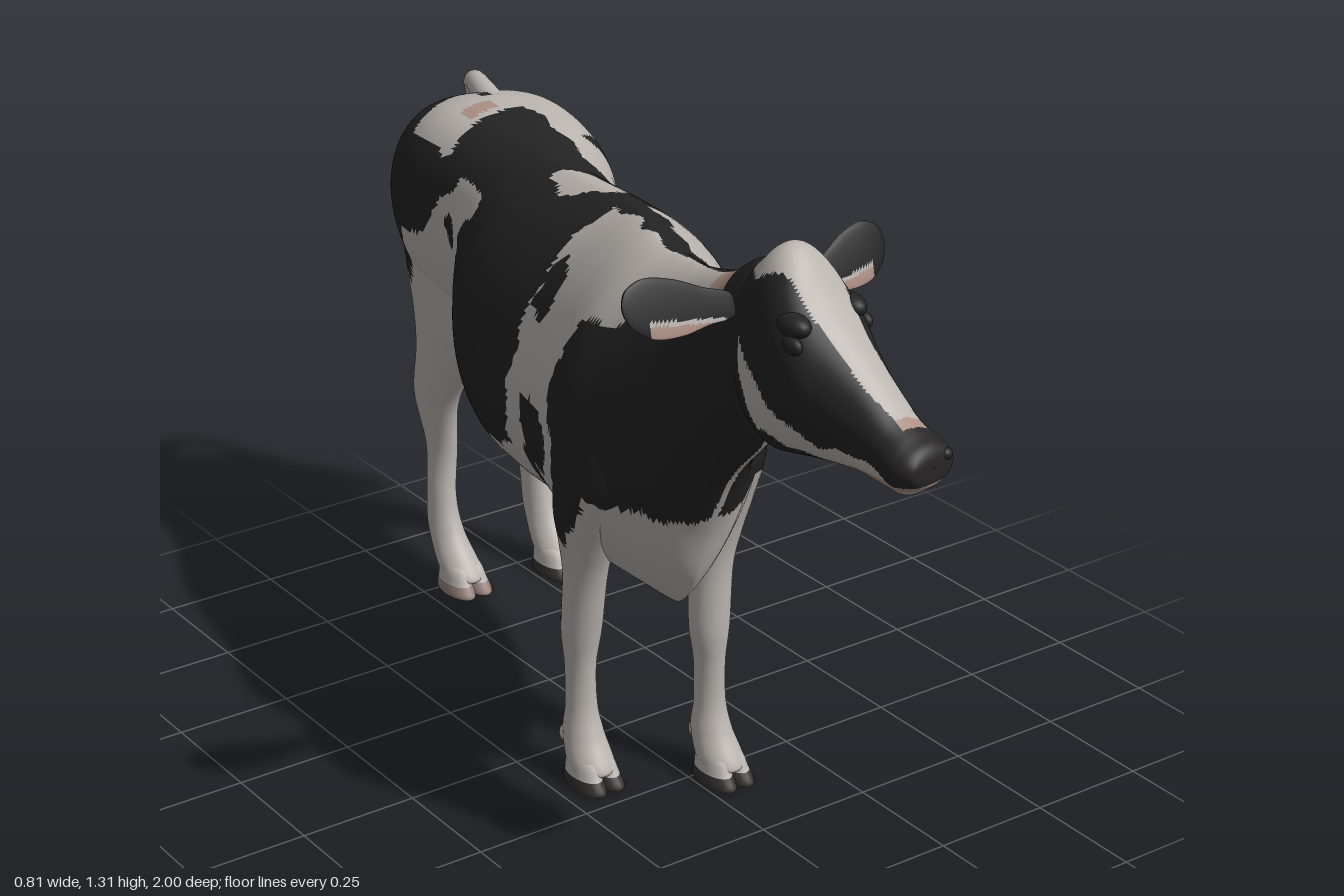
import * as THREE from 'three';

const { lerp, clamp, smoothstep } = THREE.MathUtils;
const mat = (name, color) => {
  const m = new THREE.MeshStandardMaterial({ color });
  m.name = name;
  return m;
};

// Catmull-Rom interpolation down a list of cross-section rows, t in 0..1
function sample(rows, t) {
  const f = t * (rows.length - 1), i = Math.min(Math.floor(f), rows.length - 2), k = f - i;
  const a = rows[Math.max(i - 1, 0)], b = rows[i], c = rows[i + 1], d = rows[Math.min(i + 2, rows.length - 1)];
  return b.map((v, n) => v + 0.5 * k * (c[n] - a[n] + k * (2 * a[n] - 5 * v + 4 * c[n] - d[n] + k * (3 * (v - c[n]) + d[n] - a[n]))));
}

// Sort the faces into material groups by the colour rule paint(x, y, z)
function paintFaces(geo, paint) {
  const p = geo.attributes.position, idx = geo.index.array, bins = [[], [], [], []];
  for (let i = 0; i < idx.length; i += 3) {
    const f = [idx[i], idx[i + 1], idx[i + 2]];
    const mid = n => (p['get' + n](f[0]) + p['get' + n](f[1]) + p['get' + n](f[2])) / 3;
    bins[paint(mid('X'), mid('Y'), mid('Z'))].push(...f);
  }
  geo.setIndex(bins.flat());
  let start = 0;
  bins.forEach((b, m) => { if (b.length) geo.addGroup(start, b.length, m); start += b.length; });
  return geo;
}

// Skin closed rings: ring(row, angle) gives a point
function loft(rows, ring, rings, segs) {
  const pos = [], index = [];
  for (let i = 0; i <= rings; i++) {
    const row = sample(rows, i / rings);
    for (let j = 0; j < segs; j++) pos.push(...ring(row, j / segs * Math.PI * 2));
  }
  for (let i = 0; i < rings; i++) for (let j = 0; j < segs; j++) {
    const a = i * segs + j, b = i * segs + (j + 1) % segs;
    index.push(a, b, a + segs, b, b + segs, a + segs);
  }
  const g = new THREE.BufferGeometry();
  g.setAttribute('position', new THREE.Float32BufferAttribute(pos, 3));
  g.setIndex(index);
  g.computeVertexNormals();
  return g;
}

// Upright section, turned by yaw; up and low set how full each half is
function upright(z, cx, top, mid, bot, hw, yaw, up, low, a) {
  const c = Math.cos(a), s = Math.sin(a);
  const u = hw * Math.sign(c) * Math.abs(c) ** (s > 0 ? up : low);
  return [cx + u, mid + s * (s > 0 ? top - mid : mid - bot), z + u * yaw];
}
// The trunk is yawed up to the shoulder, boxy at the rump, ridged at the withers and keeled at the brisket
function trunkRing([z, ...r], a) {
  const up = lerp(lerp(0.72, 1.35, smoothstep(z, -0.7, -0.25)), 1, smoothstep(z, 0.33, 0.5));
  return upright(z, ...r, 0.22 * (1 - smoothstep(z, 0.28, 0.5)), up, 1 + 0.8 * Math.exp(-(((z - 0.3) / 0.09) ** 2)), a);
}
const headCentre = z => -0.09 + Math.max(z - 0.64, 0) * 0.17;
const headRing = ([z, ...r], a) => upright(z, headCentre(z), ...r, -0.15 * smoothstep(z, 0.6, 0.72), 1, 0.84, a);
// Level section: y, x, z, x radius, z radius
const legRing = ([y, x, z, rx, rz], a) => [x + rx * Math.cos(a), Math.max(y, 0), z + rz * Math.sin(a)];

function inside(poly, z, y) {
  let hit = false;
  for (let i = 0, j = poly.length - 1; i < poly.length; j = i++) {
    const [a, b] = poly[i], [c, d] = poly[j];
    if (b > y !== d > y && z < (c - a) * (y - b) / (d - b) + a) hit = !hit;
  }
  return hit;
}

// Black patches of the coat, as z, y outlines and ovals
const shoulderPatch = [[0.7, 1.4], [0.25, 1.25], [0.25, 0.95], [0.21, 0.88], [0.25, 0.8], [0.22, 0.6], [0.25, 0.55], [0.34, 0.68], [0.7, 0.66]];
const barrelPatch = [[0.02, 1.25], [0.04, 0.87], [-0.02, 0.65], [-0.2, 0.585], [-0.33, 0.62], [-0.41, 0.71], [-0.36, 0.78],
  [-0.27, 0.77], [-0.32, 0.84], [-0.43, 0.93], [-0.38, 1], [-0.42, 1.25]];
const rumpPatch = [[-0.5, 1.08], [-0.6, 1.05], [-0.66, 1.12], [-0.98, 1.15], [-0.98, 0.9], [-0.79, 0.73], [-0.74, 0.72], [-0.72, 0.86], [-0.66, 0.85], [-0.53, 0.99]];
const spots = [[0.08, 1.01, 0.045, 0.055], [0.14, 0.74, 0.065, 0.08], [0.08, 0.63, 0.035, 0.05], [-0.5, 0.92, 0.03, 0.03], [-0.47, 0.84, 0.012, 0.012]];
const BLACK = 0, WHITE = 1, PINK = 2, DARK = 3;

function coat(x, y, z) {
  const u = x - clamp(0.03 - 0.25 * z, -0.09, 0.21);
  const wave = 0.008 * Math.sin(z * 55) + 0.006 * Math.sin(x * 90);
  // bare inner thigh and the dark leg spot
  if (z < -0.72 && y > 0.42 && y < 0.72 && x > 0.2 && x < 0.285) return PINK;
  if (x < -0.12 && z < 0.1 && z > 0 && y > 0.35 && y < 0.46) return BLACK;
  if (y < 0.53) return WHITE;
  // pale chest line
  if (z > 0.36 && y < 0.93 && Math.abs(x + 0.085) < 0.008) return WHITE;
  // dark spine and pale nape
  if (y > 1.1 && z > -0.1 && z < 0.32 && Math.abs(u - 0.01 + wave) < 0.035) return BLACK;
  if (u < -0.01 && z > 0.03 && z < 0.53 && y + wave > 1.03 + (z - 0.2) * 0.3) return z > 0.48 && y > 1.15 ? PINK : WHITE;
  if (y > 1.06 && ((x - 0.07 + wave) / 0.05) ** 2 + ((z + 0.2) / 0.11) ** 2 < 1) return WHITE;
  // rump, seen from above and behind
  if (z < -0.83 && x > 0.2 && x < 0.31 && y < 1.08) return x < 0.235 && y > 0.85 ? PINK : WHITE;
  if (z < -0.42 && z > -0.66 && x + wave < 0.23 && y > 1.03) return BLACK;
  if (z < -0.6 && x > 0.2 && y + wave > 1.085) return WHITE;
  if (z < -0.64 && z > -0.81 && x > 0.03 && x < 0.18 + wave && y > 1.06) return z < -0.68 && z > -0.72 && x > 0.1 ? PINK : WHITE;
  // mirrored flank patches with wavy edges
  const s = z + (z < 0.4 ? 0.045 - u * 0.22 : 0) + 0.007 * Math.sin(y * 48) + 0.003 * Math.sin(y * 110 + 1);
  const h = y + 0.007 * Math.sin(z * 52) + 0.003 * Math.sin(z * 120 + 1);
  if (spots.some(([a, b, rz, ry]) => ((s - a) / rz) ** 2 + ((h - b) / ry) ** 2 < 1)) return BLACK;
  return [shoulderPatch, barrelPatch, rumpPatch].some(p => inside(p, s, h)) ? BLACK : WHITE;
}

// Face: white blaze and cheek stripe, dark muzzle
const cheek = [[0.95, 0.955], [0.9, 0.985], [0.8, 0.98], [0.7, 1.04], [0.62, 1.14], [0.62, 1.08], [0.65, 0.97], [0.75, 0.95], [0.85, 0.935]];
function face(x, y, z) {
  const ridge = 1.25 - Math.max(z - 0.7, 0);
  if (z > 0.945 && y > 0.955) return DARK;
  if (z > 0.85 && y < 0.955) return y > 0.943 ? PINK : WHITE;
  const width = 0.068 - Math.max(z - 0.68, 0) * 0.15 + 0.003 * Math.sin(z * 60);
  if (y > ridge && Math.abs(x - headCentre(z) - 0.008) < width) return z > 0.925 ? PINK : WHITE;
  return inside(cheek, z, y + 0.004 * Math.sin(z * 80)) ? WHITE : BLACK;
}

export function createModel() {
  const cow = new THREE.Group();
  cow.name = 'cow';
  const black = mat('black coat', 0x232323), white = mat('white coat', 0xb9b3ae), pink = mat('pink skin', 0xac8f83);
  const muzzle = mat('dark muzzle', 0x272525), horn = mat('dark hoof', 0x353231), paleHorn = mat('pale hoof', 0x94807a);
  const skin = [black, white, pink, muzzle];
  const add = (name, geo, material) => {
    const m = new THREE.Mesh(geo, material);
    m.name = name;
    cow.add(m);
    return m;
  };
  const ball = (name, material, p, r) => {
    const m = add(name, new THREE.SphereGeometry(1, 24, 16), material);
    m.position.set(...p);
    m.scale.set(...r);
  };

  // Trunk and neck: z, centre x, top, widest y, bottom, half width
  const trunk = [
    [-0.885, 0.21, 0.94, 0.93, 0.92, 0.005], [-0.88, 0.21, 1.06, 0.93, 0.78, 0.13], [-0.84, 0.205, 1.105, 0.92, 0.68, 0.182],
    [-0.74, 0.2, 1.132, 0.92, 0.61, 0.204], [-0.6, 0.19, 1.12, 0.92, 0.6, 0.192], [-0.5, 0.155, 1.11, 0.88, 0.58, 0.188],
    [-0.4, 0.11, 1.11, 0.82, 0.495, 0.21], [-0.3, 0.085, 1.12, 0.8, 0.465, 0.238], [-0.15, 0.06, 1.135, 0.79, 0.475, 0.25],
    [0, 0.03, 1.15, 0.79, 0.49, 0.243], [0.12, -0.015, 1.165, 0.79, 0.475, 0.225], [0.22, -0.06, 1.165, 0.79, 0.45, 0.205],
    [0.3, -0.067, 1.165, 0.82, 0.44, 0.178], [0.365, -0.075, 1.17, 0.88, 0.51, 0.142], [0.42, -0.08, 1.18, 0.93, 0.64, 0.115],
    [0.5, -0.09, 1.205, 1, 0.79, 0.096], [0.61, -0.09, 1.26, 1.08, 0.92, 0.075], [0.65, -0.09, 1.11, 1.1, 1.09, 0.01]];
  add('body', paintFaces(loft(trunk, trunkRing, 200, 120), coat), skin);

  // Head: z, top, widest y, bottom, half width
  const head = [
    [0.56, 1.11, 1.1, 1.09, 0.01], [0.58, 1.23, 1.1, 0.97, 0.07], [0.62, 1.285, 1.11, 0.925, 0.085], [0.66, 1.312, 1.12, 0.912, 0.093],
    [0.7, 1.29, 1.12, 0.918, 0.103], [0.75, 1.228, 1.11, 0.927, 0.103], [0.8, 1.172, 1.07, 0.932, 0.086], [0.86, 1.115, 1.03, 0.933, 0.069],
    [0.92, 1.06, 1, 0.925, 0.063], [0.96, 1.035, 0.985, 0.925, 0.068], [0.985, 1.022, 0.985, 0.94, 0.06], [0.997, 1.005, 0.985, 0.955, 0.045],
    [0.998, 0.986, 0.985, 0.984, 0.003]];
  add('head', paintFaces(loft(head, headRing, 120, 80), face), skin);
  for (const s of [1, -1]) {
    ball('eye', muzzle, [-0.075 + s * 0.088, 1.165, 0.75 - s * 0.012], [0.014, 0.017, 0.024]);
    ball('brow', black, [-0.078 + s * 0.07, 1.195, 0.735 - s * 0.01], [0.026, 0.022, 0.04]);
    ball('nostril', black, [-0.03 + s * 0.036, 0.997, 0.984], [0.014, 0.012, 0.012]);
  }

  // Ears: flat leaves, narrow at the root, pink low in front and along the upper back
  const leaf = [[0, 0.002], [0.03, 0.022], [0.25, 0.032], [0.5, 0.048], [0.75, 0.052], [0.92, 0.036], [0.985, 0.016], [1, 0.001]];
  for (const [name, s, root, length] of [['leftEar', 1, -0.01, 0.19], ['rightEar', -1, -0.175, 0.23]]) {
    const lift = t => 1.195 + 0.035 * t, front = (t, y) => 0.61 - y * 0.35 - 0.02 * t;
    const ring = ([t, r], a) => {
      const y = -r * Math.sin(a), z = r * 0.4 * Math.cos(a);
      return [root + s * t * length, lift(t) + y, front(t, y) + (z > 0 ? 0.3 * z : z)];
    };
    add(name, paintFaces(loft(s > 0 ? leaf : leaf.slice().reverse(), ring, 48, 40), (x, y, z) => {
      const t = (x - root) * s / length, low = y - lift(t);
      if (t < 0.1 || t > 0.8) return BLACK;
      if (z < front(t, low)) return low > 0.022 ? PINK : BLACK;
      if (low > -0.02) return BLACK;
      return low < -0.028 ? PINK : WHITE;
    }), skin);
  }

  // Legs, top to bottom: y, x, z, x radius, z radius
  const fore = [
    [1, 0.02, 0.26, 0.005, 0.005], [0.94, 0.035, 0.265, 0.05, 0.075], [0.84, 0.055, 0.265, 0.078, 0.108], [0.72, 0.067, 0.25, 0.083, 0.105],
    [0.62, 0.07, 0.237, 0.072, 0.082], [0.54, 0.068, 0.235, 0.054, 0.06], [0.46, 0.061, 0.235, 0.044, 0.047], [0.33, 0.055, 0.24, 0.041, 0.042],
    [0.25, 0.055, 0.242, 0.031, 0.035], [0.16, 0.055, 0.245, 0.032, 0.034], [0.1, 0.055, 0.252, 0.04, 0.046], [0.035, 0.057, 0.285, 0.044, 0.05], [0.03, 0.057, 0.285, 0.002, 0.002]];
  const hind = [
    [1.02, 0.29, -0.74, 0.005, 0.005], [0.97, 0.3, -0.74, 0.07, 0.11], [0.86, 0.305, -0.735, 0.077, 0.138], [0.74, 0.31, -0.72, 0.068, 0.137],
    [0.64, 0.315, -0.71, 0.056, 0.126], [0.55, 0.317, -0.73, 0.046, 0.1], [0.43, 0.316, -0.775, 0.039, 0.07], [0.31, 0.307, -0.772, 0.031, 0.044],
    [0.2, 0.308, -0.76, 0.03, 0.04], [0.12, 0.311, -0.738, 0.036, 0.048], [0.035, 0.31, -0.675, 0.043, 0.052], [0.03, 0.31, -0.675, 0.002, 0.002]];
  // the right legs mirror the left ones and stand further back
  const foreRight = fore.map(([y, x, z, rx, rz]) => [y, -0.11 - x, z - 0.05 - 0.085 * clamp((0.7 - y) / 0.4, 0, 1), rx, rz]);
  const hindRight = hind.map(([y, x, z, rx, rz]) => [y, 0.405 - x - (y < 0.3 ? 0.01 : 0), z - 0.045, rx, rz]);
  const legs = [['leftForeleg', fore, horn], ['rightForeleg', foreRight, horn], ['leftHindLeg', hind, horn], ['rightHindLeg', hindRight, paleHorn]];
  for (const [name, rows, hoof] of legs) {
    add(name, paintFaces(loft(rows, legRing, 110, 40), coat), skin);
    const [, x, z] = rows[rows.length - 1];
    // cloven foot, pale above a horn rim and a pale sole, with dewclaws behind
    for (const s of [1, -1]) {
      const claw = [[0.07, 0.018, 0.002, 0.002], [0.06, 0.018, 0.022, 0.04], [0.03, 0.021, 0.027, 0.052], [0, 0.022, 0.029, 0.06], [0, 0.022, 0.001, 0.001]]
        .map(([y, dx, rx, rz]) => [y, x + s * dx, z + 0.008 - y * 0.3, rx, rz]);
      add('hoof', paintFaces(loft(claw, legRing, 32, 24), (px, y) => y < 0.002 ? PINK : y < 0.027 ? DARK : WHITE), [black, white, paleHorn, hoof]);
      ball('dewclaw', white, [x + s * 0.018, 0.085, z - 0.07], [0.011, 0.018, 0.013]);
    }
  }

  // Udder and teats
  ball('udder', pink, [0.185, 0.575, -0.55], [0.09, 0.12, 0.105]);
  for (const dx of [-0.04, 0.04]) for (const dz of [-0.045, 0.045]) {
    add('teat', new THREE.CapsuleGeometry(0.016, 0.045, 6, 12), pink).position.set(0.185 + dx, 0.47, -0.55 + dz);
  }

  // Tail: a tube whose radius follows its length, with a tuft
  const path = new THREE.CatmullRomCurve3([[0.21, 1.09, -0.72], [0.225, 1.115, -0.82], [0.26, 1.105, -0.91], [0.295, 1.035, -0.958], [0.31, 0.9, -0.966],
    [0.32, 0.7, -0.966], [0.33, 0.42, -0.97], [0.33, 0.32, -0.972]].map(p => new THREE.Vector3(...p)));
  const radii = [0.03, 0.026, 0.023, 0.02, 0.018, 0.015, 0.014, 0.015, 0.025, 0.031, 0.025, 0.004].map(r => [r]);
  const tail = new THREE.TubeGeometry(path, 90, 1, 16), tp = tail.attributes.position, v = new THREE.Vector3();
  for (let i = 0; i < tp.count; i++) {
    const t = Math.floor(i / 17) / 90, c = path.getPointAt(t);
    v.fromBufferAttribute(tp, i).sub(c).multiplyScalar(sample(radii, t)[0]).add(c);
    tp.setXYZ(i, v.x, v.y, v.z);
  }
  add('tail', tail, white);
  return cow;
}
